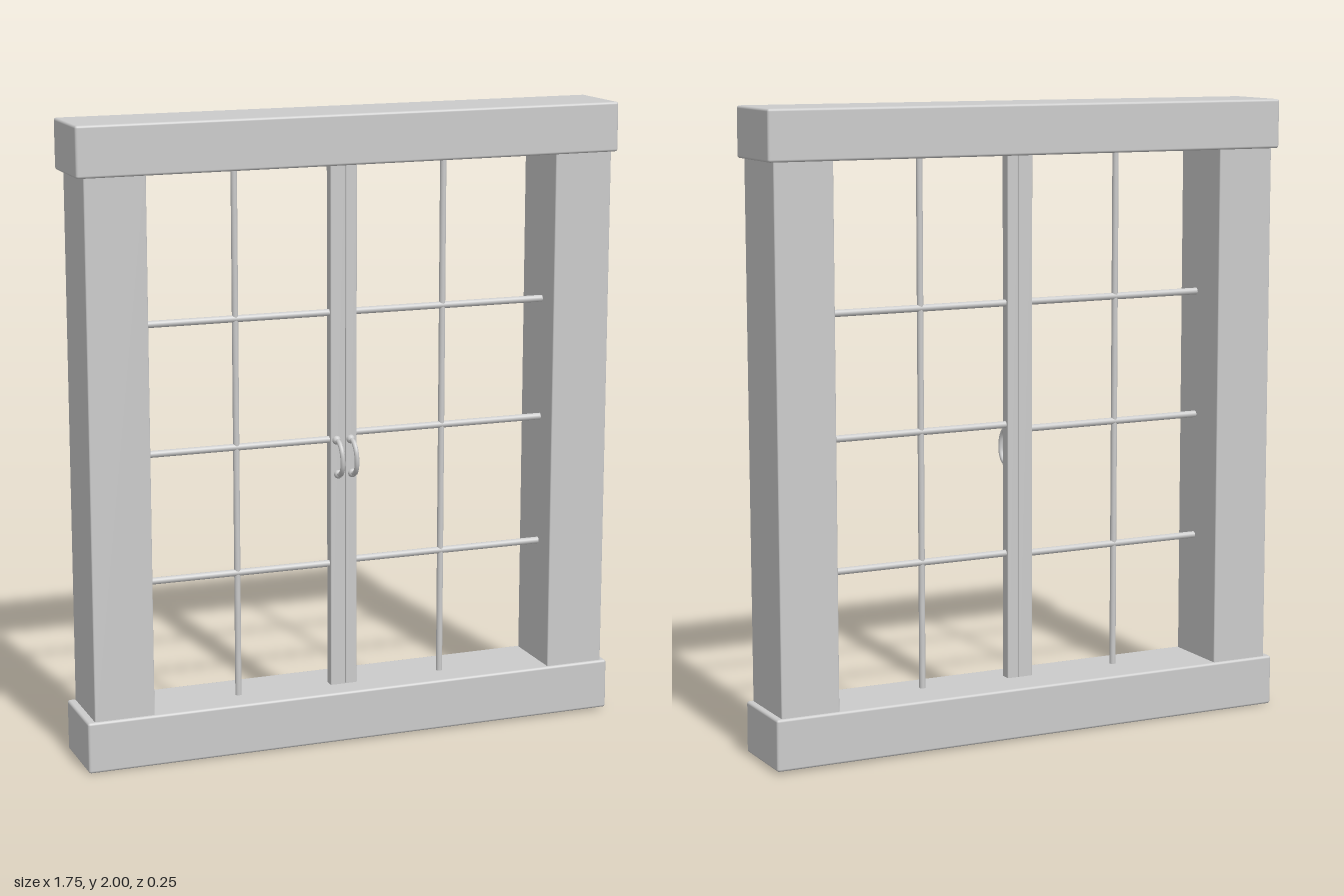
import * as THREE from 'three';
import { RoundedBoxGeometry } from 'three/addons/geometries/RoundedBoxGeometry.js';

export function createModel() {
  const model = new THREE.Group();
  model.name = 'window';
  const material = new THREE.MeshStandardMaterial({ color: 0xcccccc });

  const add = (name, geometry, x, y, z, parent = model) => {
    const mesh = new THREE.Mesh(geometry, material);
    mesh.name = name;
    mesh.position.set(x, y, z);
    parent.add(mesh);
    return mesh;
  };
  // Softly bevelled block given by its extents in x and y
  const block = (name, x0, x1, y0, y1, depth, z, bevel) =>
    add(name, new RoundedBoxGeometry(x1 - x0, y1 - y0, depth, 2, bevel),
      (x0 + x1) / 2, (y0 + y1) / 2, z);

  // Outer frame: slightly crooked beams over and under two posts
  block('topBeam', -0.877, 0.877, 1.84, 1.996, 0.25, 0, 0.008).rotation.z = 0.0045;
  block('bottomBeam', -0.877, 0.877, 0.008, 0.17, 0.25, 0, 0.008).rotation.z = 0.0045;
  block('rightPost', -0.853, -0.662, 0.15, 1.86, 0.232, 0, 0.004);
  block('leftPost', 0.668, 0.858, 0.15, 1.86, 0.232, 0, 0.004);

  // Meeting stiles of the two casements
  const barZ = 0.023;
  block('rightStile', -0.055, -0.006, 0.16, 1.85, 0.036, barZ, 0.003);
  block('leftStile', -0.005, 0.032, 0.16, 1.85, 0.036, barZ, 0.003);

  // Round glazing bars and a pull handle for each casement
  const casements = [
    { side: 'right', x0: -0.675, x1: -0.045, upright: -0.36, rows: [1.373, 0.97, 0.568], handle: -0.033 },
    { side: 'left', x0: 0.025, x1: 0.68, upright: 0.325, rows: [1.373, 0.988, 0.575], handle: 0.014 },
  ];
  for (const { side, x0, x1, upright, rows, handle } of casements) {
    add(side + 'UprightBar', new THREE.CylinderGeometry(0.01, 0.01, 1.7, 12), upright, 1.005, barZ);
    for (const y of rows) {
      const bar = add(side + 'CrossBar', new THREE.CylinderGeometry(0.011, 0.011, x1 - x0, 12),
        (x0 + x1) / 2, y, barZ);
      bar.rotation.z = Math.PI / 2;
    }

    const pull = new THREE.Group();
    pull.name = side + 'Handle';
    pull.position.set(handle, 0.915, barZ + 0.018);
    pull.rotation.z = 0.05;
    model.add(pull);
    // Bowed grip between two small mounting feet
    const arc = new THREE.CatmullRomCurve3([
      [-0.055, 0], [-0.05, 0.025], [-0.028, 0.043], [0, 0.048],
      [0.028, 0.043], [0.05, 0.025], [0.055, 0],
    ].map(([y, z]) => new THREE.Vector3(0, y, z)));
    add('grip', new THREE.TubeGeometry(arc, 24, 0.008, 8), 0, 0, 0, pull);
    for (const s of [-1, 1]) {
      add('handleFoot', new THREE.SphereGeometry(0.014, 12, 8), 0, s * 0.055, 0, pull);
    }
  }
  return model;
}
